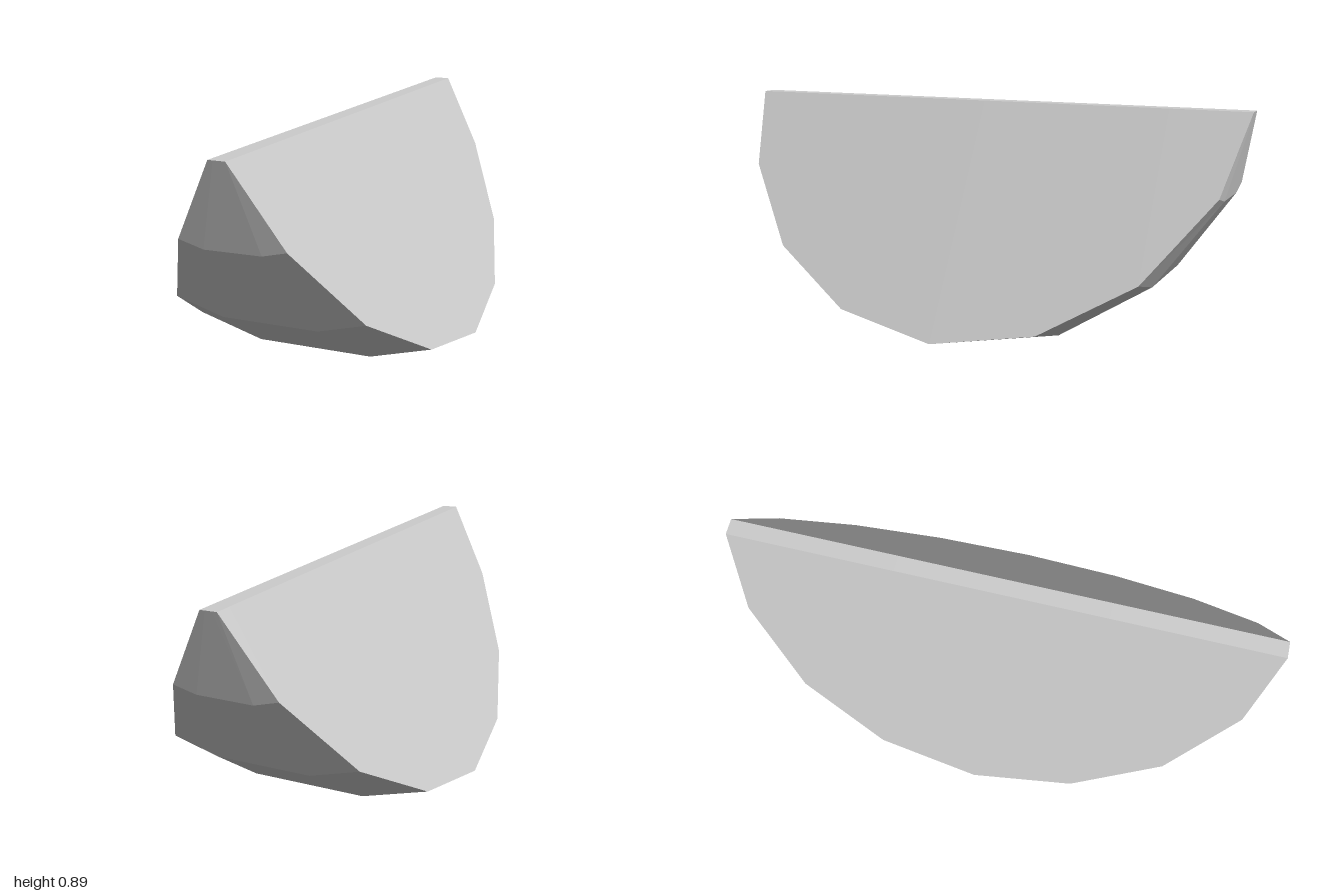
import * as THREE from 'three';

const TOP = 0.89, HALF = 0.03, SLOPE = 1.734;

// Half of the wedge from its middle to one tip: z, height of the cut edge,
// then the two lower ridges of the rind (left x, y, right x, y)
const STATIONS = [
  [0, 0.075, -0.225, 0.003, 0.245, 0.007],
  [0.385, 0.144, -0.21, 0.075, 0.23, 0.079],
  [0.71, 0.33, -0.17, 0.28, 0.18, 0.283],
  [0.93, 0.612, -0.1, 0.588, 0.104, 0.591],
  [1, TOP, -0.012, TOP, 0.012, TOP],
];

// Cross-section, counter-clockwise as seen from +z
function section([z, edgeY, lx, ly, rx, ry], sign) {
  const edgeX = HALF + (TOP - edgeY) / SLOPE;
  return [[-HALF, TOP], [-edgeX, edgeY], [lx, ly], [rx, ry], [edgeX, edgeY], [HALF, TOP]]
    .map(([x, y]) => new THREE.Vector3(x, y, z * sign));
}

// Skin the chosen sides of the cross-sections, leaving out collapsed triangles
function skin(name, rings, sides, material) {
  const points = [];
  const tri = (...corners) => {
    if (new THREE.Triangle(...corners).getArea() > 1e-6) points.push(...corners);
  };
  for (let s = 0; s < rings.length - 1; s++) {
    for (const i of sides) {
      const j = (i + 1) % 6;
      const a = rings[s][i], b = rings[s][j], c = rings[s + 1][j], d = rings[s + 1][i];
      tri(a, b, c);
      tri(a, c, d);
    }
  }
  const geometry = new THREE.BufferGeometry().setFromPoints(points);
  geometry.computeVertexNormals();
  const mesh = new THREE.Mesh(geometry, material);
  mesh.name = name;
  return mesh;
}

export function createModel() {
  const group = new THREE.Group();
  group.name = 'fruitWedge';
  const material = new THREE.MeshStandardMaterial({ color: 0xcccccc, flatShading: true });

  // Tip to tip, mirrored about the middle
  const rings = [
    ...STATIONS.slice(1).reverse().map((s) => section(s, -1)),
    ...STATIONS.map((s) => section(s, 1)),
  ];

  group.add(skin('rind', rings, [1, 2, 3], material));
  group.add(skin('cutFaceRight', rings, [0], material));
  group.add(skin('cutFaceLeft', rings, [4], material));
  group.add(skin('coreStrip', rings, [5], material));
  return group;
}
